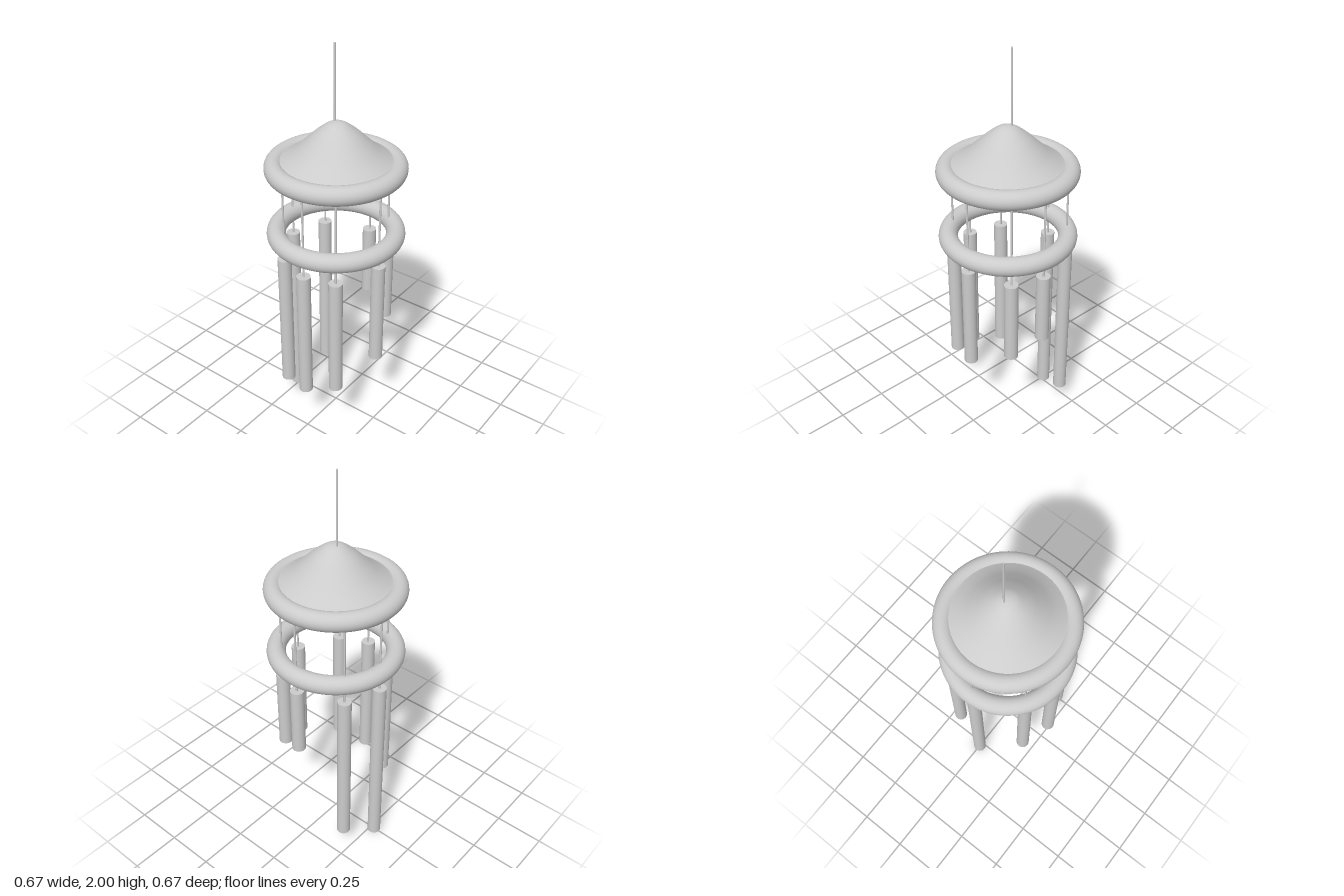
import * as THREE from 'three';

const material = new THREE.MeshStandardMaterial({ color: 0xcccccc });
const thin = new THREE.MeshStandardMaterial({ color: 0xcccccc, side: THREE.DoubleSide });

function add(group, name, geometry, x, y, z, mat = material) {
  const mesh = new THREE.Mesh(geometry, mat);
  mesh.name = name;
  mesh.position.set(x, y, z);
  group.add(mesh);
  return mesh;
}

// Upright rod between two heights
function rod(group, name, radius, x, z, bottom, top, sides) {
  const geometry = new THREE.CylinderGeometry(radius, radius, top - bottom, sides);
  add(group, name, geometry, x, (top + bottom) / 2, z);
}

export function createModel() {
  const model = new THREE.Group();
  model.name = 'windChime';

  // Two matching hoops
  const hoop = new THREE.TorusGeometry(0.287, 0.046, 24, 96).rotateX(Math.PI / 2);
  add(model, 'upperRing', hoop, 0, 1.425, 0);
  add(model, 'lowerRing', hoop, 0, 1.08, 0);

  // Bell-shaped open canopy seated in the upper hoop
  const profile = new THREE.SplineCurve([
    [0.275, 1.455], [0.25, 1.467], [0.2, 1.502], [0.15, 1.547],
    [0.1, 1.594], [0.05, 1.632], [0.02, 1.644], [0, 1.646],
  ].map(([r, y]) => new THREE.Vector2(r, y))).getPoints(32);
  profile[profile.length - 1].x = 0;
  add(model, 'canopy', new THREE.LatheGeometry(profile, 96), 0.002, 0, 0.005, thin);

  // Hanging cord
  rod(model, 'hangingCord', 0.005, 0.01, -0.014, 1.6, 2, 12);

  // Chimes: x, z, bottom, top
  const chimes = [
    [0, -0.27, 0, 0.975],
    [0.185, -0.21, 0.11, 0.975],
    [-0.218, -0.145, 0.24, 0.975],
    [-0.272, 0.015, 0.28, 0.967],
    [-0.22, 0.163, 0.33, 0.96],
    [0, 0.25, 0.43, 0.975],
    [0.204, 0.163, 0.535, 0.96],
    [0.264, 0.015, 0.61, 0.972],
  ];
  for (const [x, z, bottom, top] of chimes) {
    const chime = new THREE.Group();
    chime.name = 'chime';
    rod(chime, 'tube', 0.034, x, z, bottom, top, 32);
    rod(chime, 'string', 0.005, x + 0.002, z, top - 0.01, 1.42, 12);
    model.add(chime);
  }
  return model;
}
